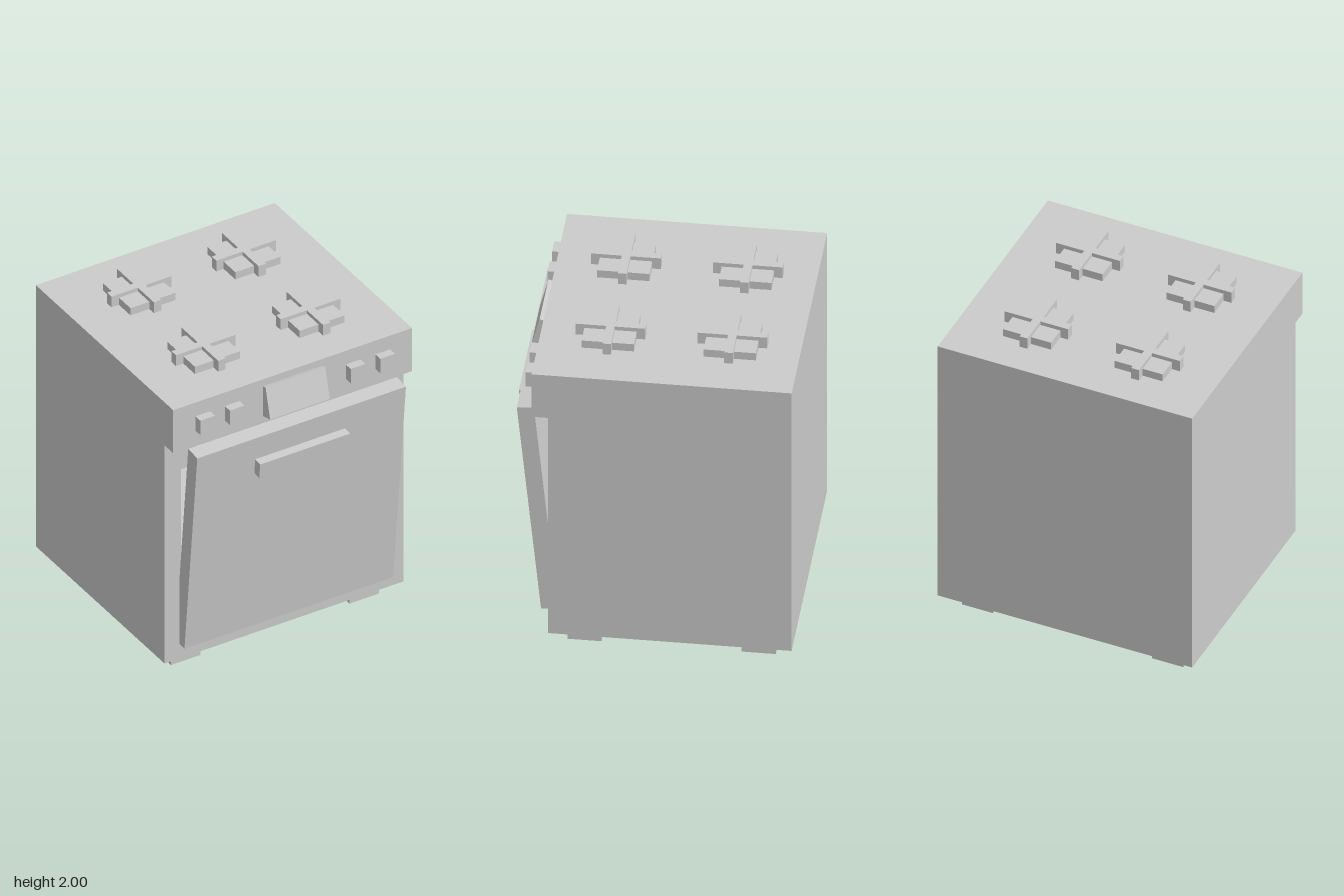
import * as THREE from 'three';

const material = new THREE.MeshStandardMaterial({ color: 0xcccccc, flatShading: true });

// Box given by size and centre
function box(parent, name, w, h, d, x, y, z) {
  const mesh = new THREE.Mesh(new THREE.BoxGeometry(w, h, d), material);
  mesh.name = name;
  mesh.position.set(x, y, z);
  parent.add(mesh);
  return mesh;
}

function group(parent, name, x, y, z) {
  const g = new THREE.Group();
  g.name = name;
  g.position.set(x, y, z);
  parent.add(g);
  return g;
}

function rectangle(path, x, y0, y1) {
  path.moveTo(-x, y0);
  path.lineTo(x, y0);
  path.lineTo(x, y1);
  path.lineTo(-x, y1);
  path.closePath();
  return path;
}

export function createModel() {
  const stove = new THREE.Group();
  stove.name = 'stove';

  // Cabinet: open-fronted oven shell, back wall and overhanging top section
  const outline = rectangle(new THREE.Shape(), 0.81, 0.105, 1.625);
  outline.holes.push(rectangle(new THREE.Path(), 0.7, 0.2, 1.42));
  const shell = new THREE.Mesh(
    new THREE.ExtrudeGeometry(outline, { depth: 1.295, bevelEnabled: false }), material);
  shell.name = 'ovenShell';
  shell.position.z = -0.7;
  stove.add(shell);
  box(stove, 'backWall', 1.62, 1.52, 0.125, 0, 0.865, -0.7625);
  box(stove, 'topSection', 1.62, 0.3, 1.515, 0, 1.775, -0.0675);
  box(stove, 'ovenShelf', 1.4, 0.03, 1.25, 0, 0.73, -0.075);

  // Oven door, ajar at the top, with its handle
  const door = group(stove, 'ovenDoor', 0, 0.91, 0.668);
  door.rotation.x = 0.1;
  box(door, 'doorPanel', 1.415, 1.415, 0.1, 0, 0, 0);
  box(door, 'doorHandle', 0.61, 0.1, 0.055, 0, 0.5, 0.0775);

  // Display, tilted upwards
  box(stove, 'display', 0.405, 0.2, 0.1, 0, 1.776, 0.697).rotation.x = -0.25;

  for (const side of [-1, 1]) {
    // Control knobs
    for (const x of [0.41, 0.61]) {
      box(stove, 'knob', 0.1, 0.1, 0.075, side * x, 1.78, 0.7075);
    }
    // Feet
    for (const z of [0.395, -0.62]) {
      box(stove, 'foot', 0.2, 0.105, 0.2, side * 0.605, 0.0525, z);
    }
    // Burners with crossed pan supports
    for (const z of [0.285, -0.425]) {
      const burner = group(stove, 'burner', side * 0.355, 1.925, z);
      box(burner, 'burnerPlate', 0.305, 0.05, 0.305, 0, 0.025, 0);
      box(burner, 'supportBarX', 0.405, 0.075, 0.05, 0, 0.0375, 0);
      box(burner, 'supportBarZ', 0.05, 0.075, 0.405, 0, 0.0375, 0);
    }
  }
  return stove;
}
